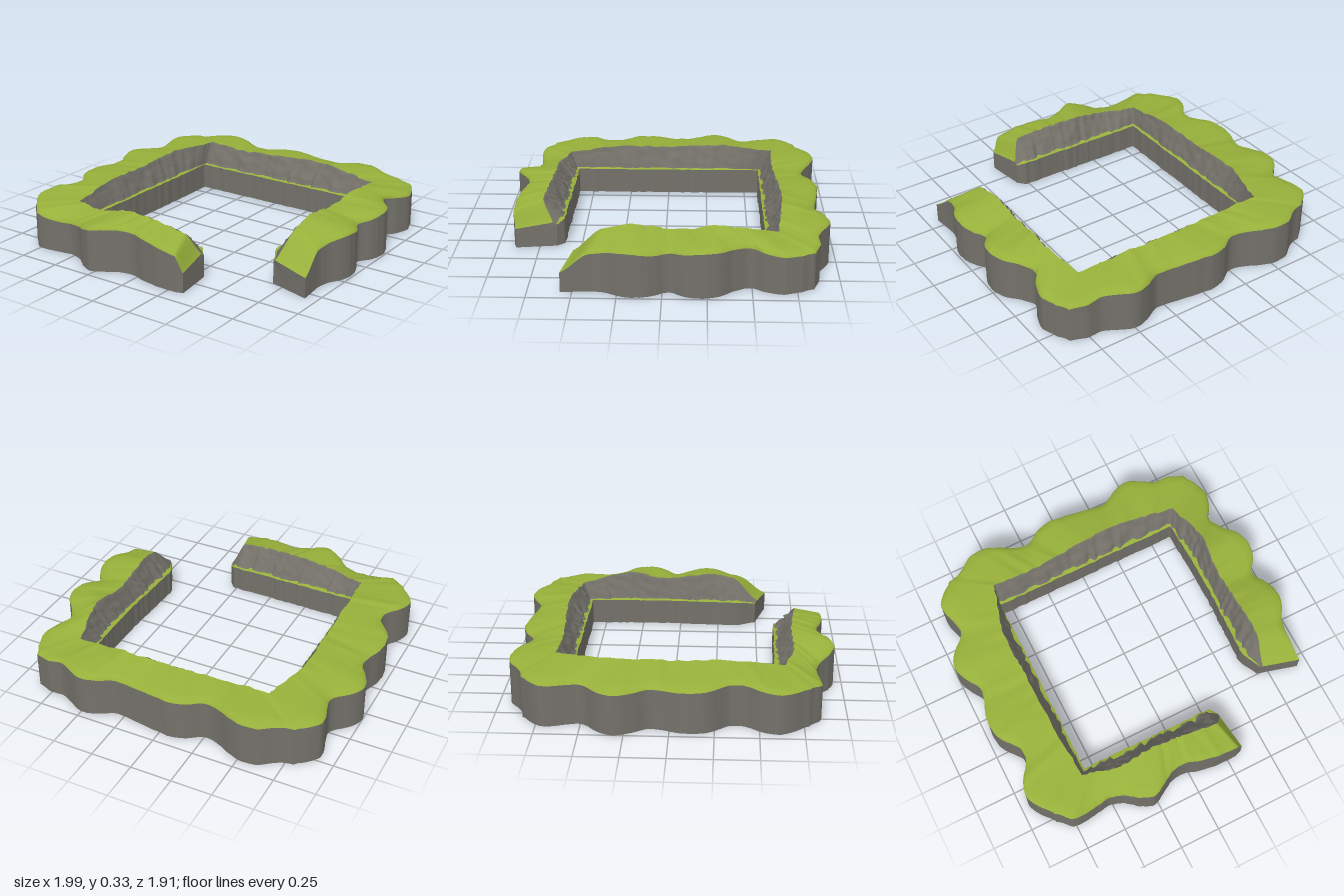
import * as THREE from 'three';

// Smooth repeatable noise in -1..1
const hash = (i, k) => {
  const v = Math.sin(i * 127.1 + k * 311.7) * 43758.5453;
  return (v - Math.floor(v)) * 2 - 1;
};
function noise(s, k) {
  const i = Math.floor(s), f = s - i, w = f * f * (3 - 2 * f);
  return hash(i, k) * (1 - w) + hash(i + 1, k) * w;
}

// Smooth curve through evenly spaced values
function profile(values) {
  const curve = new THREE.SplineCurve(values.map((v, i) => new THREE.Vector2(i, v)));
  return t => curve.getPoint(t).y;
}

// How each side turns (distance along, distance outward) into x and z
const front = (a, d) => [a, d];
const left = (a, d) => [-d, a];
const back = (a, d) => [a, -d];
const right = (a, d) => [d, a];

// Append one run to an edge; a run starts where the previous one stopped
function extend(edge, place, steps, from, to, depths, heights) {
  const depth = profile(depths), height = profile(heights);
  for (let i = edge.length ? 1 : 0; i <= steps; i++) {
    const t = i / steps;
    const [x, z] = place(THREE.MathUtils.lerp(from, to, t), depth(t));
    edge.push(new THREE.Vector3(x, height(t), z));
  }
}

// Outer rim of the grass, with its lobes
function makeRim() {
  const e = [];
  extend(e, front, 6, 0.345, 0.3, [0.89, 0.905], [0.12, 0.215]);
  extend(e, front, 80, 0.3, -0.85,
    [0.905, 0.905, 0.9, 0.885, 0.86, 0.865, 0.91, 0.95, 0.92, 0.855, 0.83, 0.84, 0.85, 0.845, 0.78],
    [0.215, 0.245, 0.255, 0.25, 0.2, 0.195, 0.23]);
  extend(e, left, 80, 0.78, -0.84,
    [0.85, 0.915, 0.955, 0.925, 0.865, 0.865, 0.935, 0.965, 0.96, 0.93, 0.915, 0.97, 1, 0.97, 0.88, 0.88, 0.91, 0.895, 0.8],
    [0.23, 0.25, 0.24, 0.24, 0.25]);
  extend(e, back, 80, -0.8, 0.86,
    [0.84, 0.865, 0.93, 0.94, 0.91, 0.865, 0.85, 0.91, 0.93, 0.92, 0.91, 0.895, 0.89, 0.935, 0.96, 0.925, 0.88, 0.88, 0.85],
    [0.25, 0.26, 0.245, 0.25, 0.24, 0.25, 0.22]);
  extend(e, right, 80, -0.85, 0.41,
    [0.86, 0.905, 0.93, 0.905, 0.855, 0.895, 0.97, 0.99, 0.975, 0.92, 0.965, 0.99, 0.975, 0.93, 0.915],
    [0.22, 0.225, 0.25, 0.265, 0.235, 0.26, 0.225]);
  extend(e, right, 6, 0.41, 0.565, [0.915, 0.93], [0.225, 0.12]);
  return e;
}

// Ridge where the grass meets the cliff
function makeRidge() {
  const e = [];
  extend(e, front, 6, 0.31, 0.25, [0.67, 0.735], [0.15, 0.28]);
  extend(e, front, 80, 0.25, -0.61, [0.735, 0.715, 0.7, 0.705, 0.65], [0.28, 0.3, 0.305, 0.275, 0.265]);
  extend(e, left, 80, 0.65, -0.67, [0.61, 0.635, 0.64, 0.65, 0.575], [0.265, 0.3, 0.295, 0.305, 0.3]);
  extend(e, back, 80, -0.575, 0.68, [0.67, 0.665, 0.69, 0.69, 0.655], [0.3, 0.29, 0.305, 0.305, 0.265]);
  extend(e, right, 80, -0.655, 0.35, [0.68, 0.735, 0.72, 0.725, 0.735], [0.265, 0.3, 0.33, 0.3, 0.305, 0.325, 0.3]);
  extend(e, right, 6, 0.35, 0.51, [0.735, 0.7], [0.3, 0.15]);
  return e;
}

// Inner edge of the ledge
function makeLedge() {
  const e = [];
  extend(e, front, 6, 0.31, 0.27, [0.645, 0.605], [0.135, 0.16]);
  extend(e, front, 80, 0.27, -0.57, [0.605, 0.595], [0.16]);
  extend(e, left, 80, 0.595, -0.59, [0.57], [0.16]);
  extend(e, back, 80, -0.57, 0.635, [0.59], [0.16]);
  extend(e, right, 80, -0.59, 0.38, [0.635, 0.645, 0.625], [0.16]);
  extend(e, right, 6, 0.38, 0.495, [0.625, 0.68], [0.16, 0.135]);
  return e;
}

function toGeometry(pos, index) {
  const geo = new THREE.BufferGeometry();
  geo.setAttribute('position', new THREE.Float32BufferAttribute(pos, 3));
  geo.setIndex(index);
  geo.computeVertexNormals();
  return geo;
}

// Skin a list of rows, each a list of points along the wall
function skin(rows) {
  const n = rows[0].length, index = [];
  for (let r = 0; r + 1 < rows.length; r++) {
    for (let i = 0; i + 1 < n; i++) {
      const a = r * n + i, b = a + 1, c = a + n, d = c + 1;
      index.push(a, b, c, b, d, c);
    }
  }
  return toGeometry(rows.flat().flatMap(p => p.toArray()), index);
}

// Flat end face, fanned from its middle
function endFace(loop, flip) {
  const mid = loop[0].clone().lerp(loop[loop.length - 1], 0.5).setY(0.05);
  const index = [];
  loop.forEach((_, i) => {
    const a = i + 1, b = (i + 1) % loop.length + 1;
    index.push(0, ...(flip ? [b, a] : [a, b]));
  });
  return toGeometry([mid, ...loop].flatMap(p => p.toArray()), index);
}

export function createModel() {
  const grass = new THREE.MeshStandardMaterial({ color: 0x97b03a });
  grass.name = 'grass green';
  const rock = new THREE.MeshStandardMaterial({ color: 0x74716a });
  rock.name = 'rock grey';

  const group = new THREE.Group();
  group.name = 'cliffWall';
  const add = (name, geo, mat) => {
    const mesh = new THREE.Mesh(geo, mat);
    mesh.name = name;
    group.add(mesh);
  };

  const rim = makeRim(), ridge = makeRidge(), ledge = makeLedge();
  const last = rim.length - 1;
  // Roughness fades out at both open ends
  const fade = i => Math.min(1, Math.min(i, last - i) / 8);

  // Weathered edges
  const roughen = (edge, amount, k) => edge.forEach((p, i) => {
    const s = 1 - amount * Math.abs(noise(i / 3, k)) * fade(i);
    p.x *= s;
    p.z *= s;
  });
  roughen(rim, 0.006, 1);
  roughen(ridge, 0.015, 2);
  roughen(ledge, 0.012, 3);
  ridge.forEach((p, i) => { p.y += 0.005 * noise(i / 3, 4) * fade(i); });

  // Foot of the cliff, leaving a narrow uneven ledge
  const foot = ledge.map((p, i) => {
    const q = p.clone().lerp(ridge[i], 0.2 + 0.15 * noise(i / 2, 5) * fade(i));
    return q.setY(p.y + 0.006);
  });

  // Layered rock face between foot and ridge
  const cliff = [foot];
  for (let r = 1; r < 7; r++) {
    const t = r / 7, step = r % 2 ? 0.07 : -0.07;
    cliff.push(foot.map((p, i) => {
      const q = p.clone().lerp(ridge[i], t + (step + 0.09 * noise(i / 3, 5 + r)) * fade(i));
      q.y = THREE.MathUtils.lerp(p.y, ridge[i].y, t + 0.04 * noise(i / 4, 20 + r) * fade(i));
      return q;
    }));
  }
  cliff.push(ridge);

  // Grass slope with a rounded lip at the rim
  const slope = [ridge];
  [0.25, 0.5, 0.75, 0.93].forEach(t => {
    slope.push(ridge.map((p, i) => {
      const q = p.clone().lerp(rim[i], t);
      q.y += (0.016 * t + 0.004 * noise(i / 3, 40)) * fade(i);
      return q;
    }));
  });
  slope.push(rim);

  const ground = row => row.map(p => p.clone().setY(0));
  const innerBase = ground(ledge), outerBase = ground(rim);

  add('innerWall', skin([innerBase, ledge]), rock);
  add('ledge', skin([ledge, foot]), grass);
  add('cliffFace', skin(cliff), rock);
  add('grassTop', skin(slope), grass);
  add('outerWall', skin([rim, outerBase]), rock);
  add('underside', skin([outerBase, innerBase]), rock);

  // Two open ends of the wall
  const section = [innerBase, ledge, ...cliff, ...slope.slice(1), outerBase];
  add('frontEnd', endFace(section.map(row => row[0]), false), rock);
  add('rightEnd', endFace(section.map(row => row[last]), true), rock);
  return group;
}
